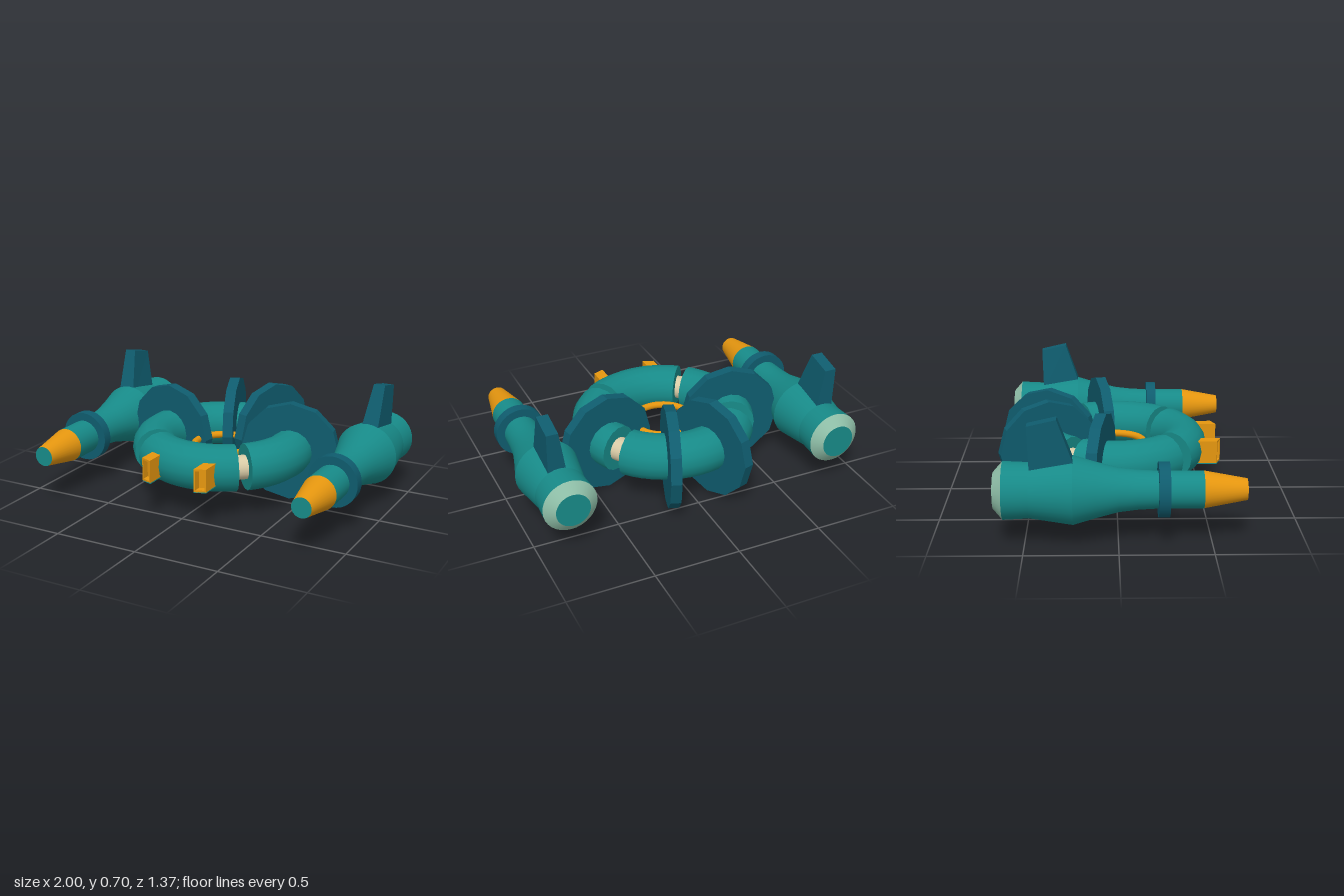
import * as THREE from 'three';

const mat = (color, side = THREE.FrontSide, flatShading = false) =>
  new THREE.MeshStandardMaterial({ color, side, flatShading });
const teal = mat(0x178a88, THREE.DoubleSide);
const navy = mat(0x0f5c6e, THREE.FrontSide, true);
const gold = mat(0xe5960f, THREE.DoubleSide);
const pale = mat(0x8fbfa8);
const cream = mat(0xd9cba6);

const Y = 0.295, R = 0.41, TUBE = 0.134, RING_Z = -0.01;
const rad = THREE.MathUtils.degToRad;

function add(parent, name, geometry, material) {
  const mesh = new THREE.Mesh(geometry, material);
  mesh.name = name;
  parent.add(mesh);
  return mesh;
}

// Capped arc of the main ring; angles in degrees, 0 = +x, 90 = back
function ringSegment(parent, name, from, to) {
  const group = new THREE.Group();
  group.name = name;
  const arc = rad(to - from);
  const place = (g, a) => g.rotateZ(a).rotateX(-Math.PI / 2);
  add(group, 'tube', place(new THREE.TorusGeometry(R, TUBE, 16, 16, arc), rad(from)), teal);
  for (const [a, s] of [[from, 1], [to, -1]]) {
    const cap = new THREE.CircleGeometry(TUBE, 16).rotateX(s * Math.PI / 2).translate(R, 0, 0);
    add(group, 'endCap', place(cap, rad(a)), teal);
  }
  parent.add(group);
}

// Cylinder threaded on the ring, its axis along the ring's tangent
function onRing(parent, name, radius, length, sides, angle, material) {
  const g = new THREE.CylinderGeometry(radius, radius, length, sides)
    .rotateX(Math.PI / 2).translate(R, 0, 0).rotateY(rad(angle));
  add(parent, name, g, material);
}

// Surface of revolution along z; points are [radius, z] with z rising
function turned(parent, name, points, material) {
  const g = new THREE.LatheGeometry(points.map(p => new THREE.Vector2(...p)), 32).rotateX(Math.PI / 2);
  return add(parent, name, g, material);
}

function engine(side) {
  const group = new THREE.Group();
  group.name = side > 0 ? 'leftEngine' : 'rightEngine';
  group.position.set(side * 0.816, Y, 0);
  turned(group, 'noseCone', [[0.1, 0.45], [0.058, 0.68]], gold);
  turned(group, 'noseTip', [[0.058, 0.68], [0, 0.68]], teal);
  turned(group, 'forwardBody', [[0.184, -0.24], [0.149, -0.12], [0.118, 0], [0.106, 0.1], [0.1, 0.21], [0.1, 0.45]], teal);
  turned(group, 'taperedBody', [[0.148, -0.47], [0.184, -0.24]], teal);
  turned(group, 'rearBody', [[0.155, -0.61], [0.148, -0.47]], teal);
  turned(group, 'exhaustRim', [[0.098, -0.66], [0.155, -0.61]], pale);
  turned(group, 'exhaustDisc', [[0, -0.66], [0.098, -0.66]], teal);
  const collar = new THREE.CylinderGeometry(0.148, 0.148, 0.06, 32).rotateX(Math.PI / 2).translate(0, 0, 0.24);
  add(group, 'collar', collar, mat(0x0f5c6e));

  // Swept fin: a box tapered and leaned outwards
  const fin = new THREE.BoxGeometry(1, 1, 1);
  const p = fin.attributes.position;
  for (let i = 0; i < p.count; i++) {
    const top = p.getY(i) > 0, front = p.getZ(i) > 0;
    const x = side * (top ? 0.034 : 0.012) + p.getX(i) * (top ? 0.068 : 0.108);
    const y = top ? (front ? 0.405 : 0.37) : 0.1;
    const z = top ? (front ? -0.32 : -0.475) : (front ? -0.212 : -0.465);
    p.setXYZ(i, x, y, z);
  }
  fin.computeVertexNormals();
  add(group, 'fin', fin, navy);
  return group;
}

// Small hollow lamp housing on the front of the ring
function lamp(side) {
  const group = new THREE.Group();
  group.name = side > 0 ? 'leftLamp' : 'rightLamp';
  group.position.set(side * 0.172, Y, 0);
  const rect = (C, w, h) => new C([[-w, -h], [w, -h], [w, h], [-w, h]].map(q => new THREE.Vector2(...q)));
  const frame = rect(THREE.Shape, 0.033, 0.067);
  frame.holes.push(rect(THREE.Path, 0.024, 0.056));
  // Front edge slants back towards the outside
  const shear = g => {
    const p = g.attributes.position;
    for (let i = 0; i < p.count; i++) p.setZ(i, p.getZ(i) - side * p.getX(i) * 0.38);
    g.computeVertexNormals();
    return g;
  };
  const housing = new THREE.ExtrudeGeometry(frame, { depth: 0.13, bevelEnabled: false }).translate(0, 0, 0.465);
  add(group, 'housing', shear(housing), gold);
  add(group, 'lens', shear(new THREE.BoxGeometry(0.05, 0.114, 0.02).translate(0, 0, 0.54)), gold);
  add(group, 'underside', shear(new THREE.BoxGeometry(0.067, 0.006, 0.13).translate(0, -0.068, 0.53)), teal);
  return group;
}

export function createModel() {
  const model = new THREE.Group();
  model.name = 'ringShip';

  const ring = new THREE.Group();
  ring.name = 'ring';
  ring.position.set(0, Y, RING_Z);
  model.add(ring);
  ringSegment(ring, 'backSegment', 38, 142);
  ringSegment(ring, 'leftSegment', -45, 27);
  ringSegment(ring, 'rightSegment', 153, 225);
  ringSegment(ring, 'frontSegment', 233, 307);
  for (const a of [32.5, 147.5, 229, 311]) onRing(ring, 'joint', 0.07, 0.12, 20, a, cream);
  for (const a of [11.5, 71.5, 108.5, 168.5]) onRing(ring, 'disc', 0.294, 0.062, 12, a, navy);
  add(ring, 'innerRing', new THREE.TorusGeometry(0.176, 0.021, 10, 40).rotateX(Math.PI / 2), gold);

  for (const side of [-1, 1]) model.add(engine(side), lamp(side));
  return model;
}
